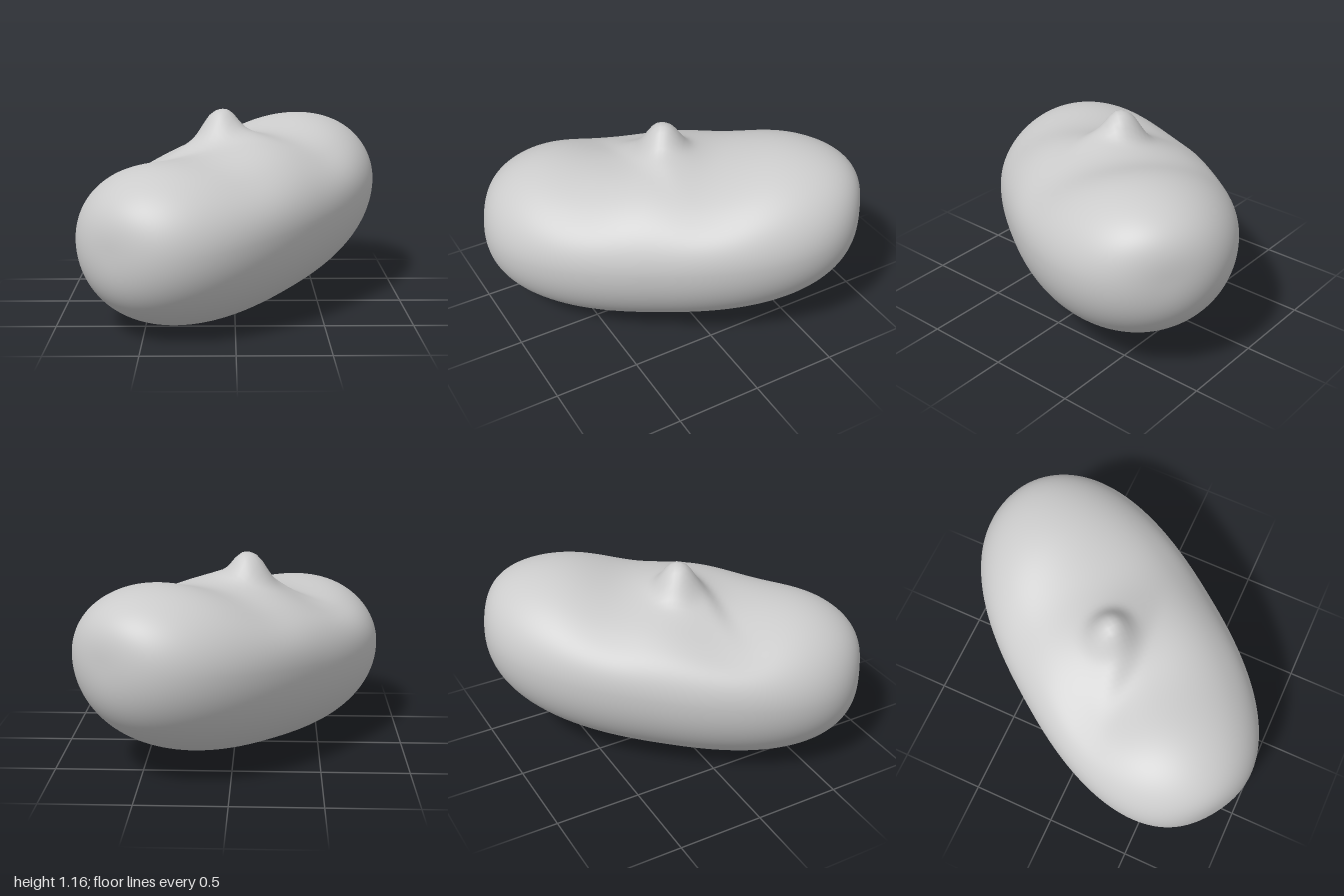
import * as THREE from 'three';
import { mergeVertices } from 'three/addons/utils/BufferGeometryUtils.js';

// Long axis (rises toward the back left) and the horizontal direction across it
const ALONG = new THREE.Vector3(0.59, 0, -0.81).normalize();
const ACROSS = new THREE.Vector3(0.81, 0, 0.59).normalize();
const HALF_LENGTH = 1.105, HALF_WIDTH = 0.63, TOP = 0.455, BOTTOM = 0.58;

const bell = (u, v, su, sv) => Math.exp(-((u / su) ** 2 + (v / sv) ** 2));

// Blunt rounded outline: 1 in the middle, 0 at the ends; higher power is fuller
const outline = (s, power) => Math.max(0, 1 - Math.abs(s) ** power) ** (1 / power);

// Height added to the upper surface: nub, step down in front of it, shallow dips
function relief(x, z, a, p) {
  const dips = -0.075 * bell(a - 0.27, p, 0.27, 0.6) - 0.055 * bell(a + 0.46, p, 0.27, 0.6)
    - 0.06 * bell(a + 0.25, p + 0.32, 0.3, 0.22);
  const step = -0.05 * THREE.MathUtils.smoothstep(z, 0.07, 0.2) * bell(x + 0.14, z - 0.15, 0.26, 0.24);
  const shoulder = 0.045 * bell(x + 0.07, z - 0.03, 0.2, 0.16);
  const nub = 0.105 * Math.exp(-(Math.hypot((x + 0.085) / 0.115, (z + 0.015) / 0.105) ** 3));
  return dips + step + shoulder + nub;
}

function bodyGeometry() {
  const sphere = new THREE.SphereGeometry(1, 128, 128);
  const pos = sphere.attributes.position;
  const v = new THREE.Vector3();
  for (let i = 0; i < pos.count; i++) {
    v.fromBufferAttribute(pos, i);
    const s = THREE.MathUtils.clamp(v.y, -1, 1);
    const r = Math.hypot(v.x, v.z);
    const ux = r > 1e-6 ? v.x / r : 0, up = r > 1e-6 ? v.z / r : 0;
    // Flatter top than bottom, gentle tilt
    const a = HALF_LENGTH * s, p = HALF_WIDTH * outline(s, 2.42) * ux;
    const x = ALONG.x * a + ACROSS.x * p, z = ALONG.z * a + ACROSS.z * p;
    const lift = up * outline(s, up > 0 ? 3.1 : 2.5);
    let y = 0.6 + 0.095 * a + lift * (up > 0 ? TOP : BOTTOM);
    if (up > 0) y += relief(x, z, a, p) * THREE.MathUtils.smoothstep(lift, 0.1, 0.7);
    pos.setXYZ(i, x, y, z);
  }
  // Weld the seam so the shading stays smooth all round
  sphere.deleteAttribute('uv');
  sphere.deleteAttribute('normal');
  const body = mergeVertices(sphere, 1e-5);
  body.computeBoundingBox();
  body.translate(0, -body.boundingBox.min.y, 0);
  body.computeVertexNormals();
  return body;
}

export function createModel() {
  const model = new THREE.Group();
  const body = new THREE.Mesh(bodyGeometry(), new THREE.MeshStandardMaterial({ color: 0xcccccc }));
  body.name = 'roundedBodyWithNub';
  model.add(body);
  return model;
}
